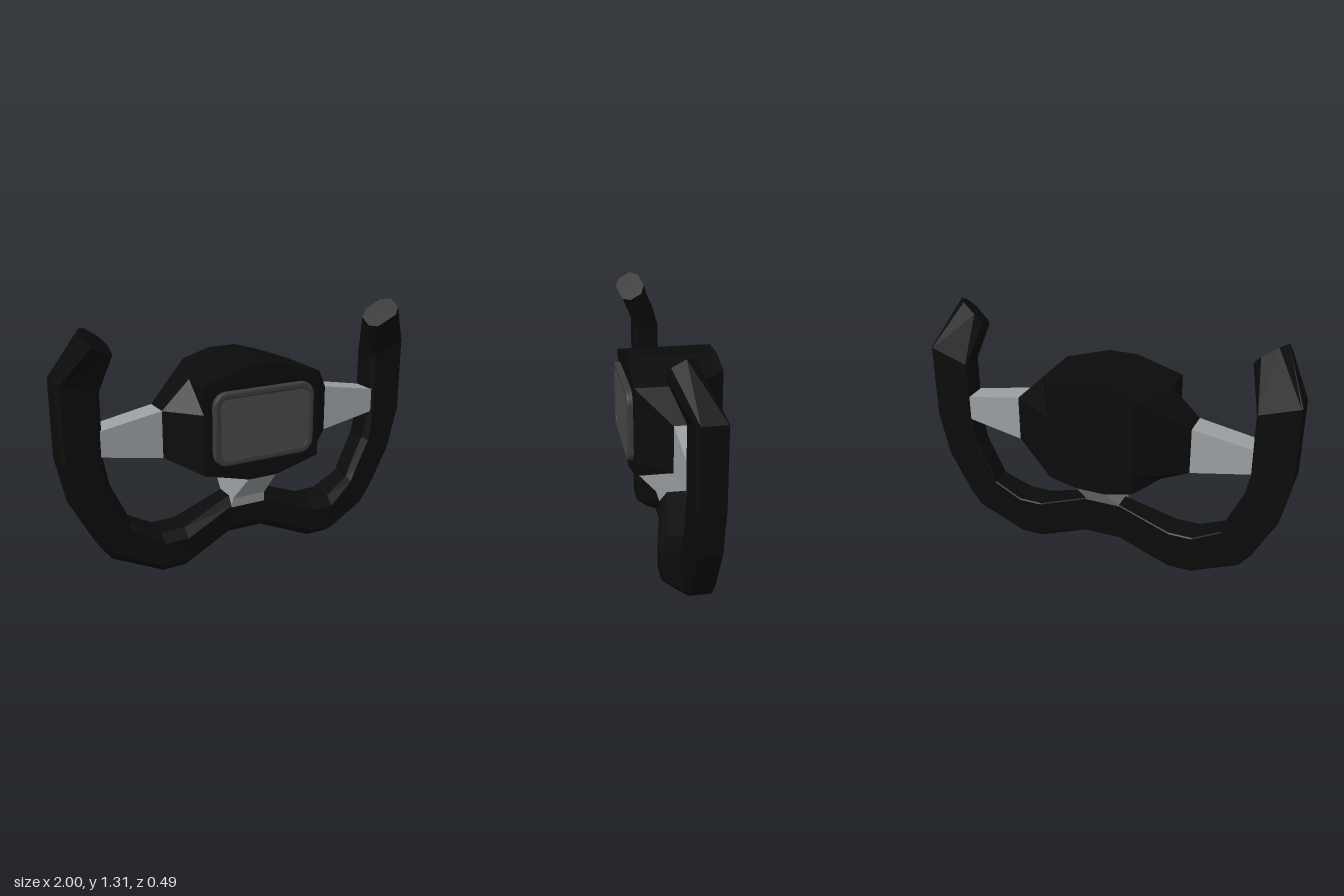
import * as THREE from 'three';

const black = new THREE.MeshStandardMaterial({ color: 0x0b0b0b, flatShading: true });
const metal = new THREE.MeshStandardMaterial({ color: 0x9a9fa2, flatShading: true });
const bezelGrey = new THREE.MeshStandardMaterial({ color: 0x3c3c3c, flatShading: true });
const glass = new THREE.MeshStandardMaterial({ color: 0x484848, flatShading: true });

// Skins a row of closed rings (counter-clockwise seen from the far end) and caps both ends.
function loft(name, rings, material) {
  const pos = [];
  const tri = (a, b, c) => pos.push(...a, ...b, ...c);
  const n = rings[0].length;
  const centre = (r) => [0, 1, 2].map((k) => r.reduce((s, p) => s + p[k], 0) / n);
  const first = rings[0], last = rings[rings.length - 1];
  const c0 = centre(first), c1 = centre(last);
  for (let j = 0; j < n; j++) {
    const k = (j + 1) % n;
    for (let i = 0; i + 1 < rings.length; i++) {
      const a = rings[i], b = rings[i + 1];
      tri(a[j], a[k], b[k]);
      tri(a[j], b[k], b[j]);
    }
    tri(c0, first[k], first[j]);
    tri(c1, last[j], last[k]);
  }
  const g = new THREE.BufferGeometry();
  g.setAttribute('position', new THREE.Float32BufferAttribute(pos, 3));
  g.computeVertexNormals();
  const mesh = new THREE.Mesh(g, material);
  mesh.name = name;
  return mesh;
}

// Rim section: inner and outer edge, back and front depth, corner cuts, tilt of the section
function rimRing(s, side) {
  const { i, o, zb = -0.085, zf = 0.055, cb = 0.03, cf = 0.15, drop = 0, skew = 0 } = s;
  const uv = [
    [cb, 0], [0, cb], [0, 1 - cf * 1.3], [cf, 1],
    [1 - cf, 1], [1, 1 - cf * 1.3], [1, cb], [1 - cb, 0],
  ];
  return uv.map(([u, v]) => [
    side * (i[0] + (o[0] - i[0]) * u),
    i[1] + (o[1] - i[1]) * u - drop * v,
    zb + (zf - zb) * v + skew * (1 - u),
  ]);
}

function makeRim() {
  const half = [
    { i: [0.1, 0.325], o: [0.1, 0.115], cf: 0.22 },
    { i: [0.38, 0.22], o: [0.38, 0.005], zf: 0.115, cf: 0.2 },
    { i: [0.51, 0.22], o: [0.51, 0.005], zf: 0.115, cf: 0.2 },
    { i: [0.66, 0.3], o: [0.77, 0.12], zf: 0.06 },
    { i: [0.685, 0.36], o: [0.83, 0.2] },
    { i: [0.76, 0.52], o: [0.95, 0.43] },
    { i: [0.79, 0.67], o: [1, 0.67], cf: 0.1 },
    { i: [0.79, 1.0], o: [1, 1.07], cf: 0.1 },
    { i: [0.73, 1.235], o: [0.88, 1.335], zb: 0.04, zf: 0.17, cb: 0.25, cf: 0.2, drop: 0.07, skew: -0.05 },
  ];
  const rings = [
    ...half.slice().reverse().map((s) => rimRing(s, -1)),
    ...half.map((s) => rimRing(s, 1)),
  ];
  return loft('rim', rings, black);
}

// Hub housing: one outline whose sides are pulled in towards front and back
function makeHub() {
  const right = [[0.08, 0.485], [0.33, 0.55], [0.48, 0.62], [0.48, 0.865], [0.33, 1.01], [0.08, 1.085]];
  const ring = (z, limit) => {
    const r = right.map(([x, y]) => {
      if (x <= limit) return [x, y, z];
      const edge = x === 0.33 ? (x - limit) * 0.3 : 0;
      return [limit, y + (y > 0.785 ? edge : -edge), z];
    });
    return [...r, ...r.map(([x, y]) => [-x, y, z]).reverse()];
  };
  return loft('hub', [ring(-0.245, 0.23), ring(-0.09, 0.48), ring(0.05, 0.48), ring(0.215, 0.33)], black);
}

function roundedRect(w, h, r, Type = THREE.Shape) {
  const s = new Type();
  const x = w / 2, y = h / 2;
  s.absarc(x - r, y - r, r, 0, Math.PI / 2);
  s.absarc(-x + r, y - r, r, Math.PI / 2, Math.PI);
  s.absarc(-x + r, -y + r, r, Math.PI, Math.PI * 1.5);
  s.absarc(x - r, -y + r, r, Math.PI * 1.5, Math.PI * 2);
  s.closePath();
  return s;
}

// Display: thin bevelled frame around a slightly sunken panel
function makeDisplay() {
  const group = new THREE.Group();
  group.name = 'display';
  const frame = roundedRect(0.55, 0.36, 0.06);
  frame.holes.push(roundedRect(0.52, 0.33, 0.05, THREE.Path));
  const bezel = new THREE.Mesh(new THREE.ExtrudeGeometry(frame, {
    depth: 0.027, bevelThickness: 0.008, bevelSize: 0.01, bevelSegments: 2, curveSegments: 6,
  }), bezelGrey);
  bezel.name = 'displayFrame';
  bezel.position.set(0, 0.78, 0.21);
  const panel = new THREE.Mesh(new THREE.ExtrudeGeometry(roundedRect(0.53, 0.34, 0.05), {
    depth: 0.03, bevelEnabled: false, curveSegments: 6,
  }), glass);
  panel.name = 'displayPanel';
  panel.position.set(0, 0.78, 0.21);
  group.add(bezel, panel);
  return group;
}

// Side spokes taper from the hub to the rim
function makeSpoke(side) {
  const ring = (x, y0, y1, z0, z1) => [[x, y1, z0], [x, y1, z1], [x, y0, z1], [x, y0, z0]];
  const rings = [
    ring(side * 0.47, 0.617, 0.867, -0.09, 0.05),
    ring(side * 0.82, 0.68, 0.805, -0.08, 0.045),
  ];
  if (side < 0) rings.reverse();
  return loft(side > 0 ? 'leftSpoke' : 'rightSpoke', rings, metal);
}

// Lower spoke narrows in depth from the hub down into the rim
function makeLowerSpoke() {
  const ring = (x, y, z0, z1) => [[x, y, z1], [x, y, z0], [-x, y, z0], [-x, y, z1]];
  return loft('lowerSpoke', [
    ring(0.1, 0.27, -0.04, 0.055),
    ring(0.095, 0.325, -0.085, 0.065),
    ring(0.08, 0.488, -0.245, 0.215),
  ], metal);
}

export function createModel() {
  const model = new THREE.Group();
  model.name = 'steeringWheel';
  model.add(makeRim(), makeHub(), makeDisplay(), makeSpoke(1), makeSpoke(-1), makeLowerSpoke());
  return model;
}
